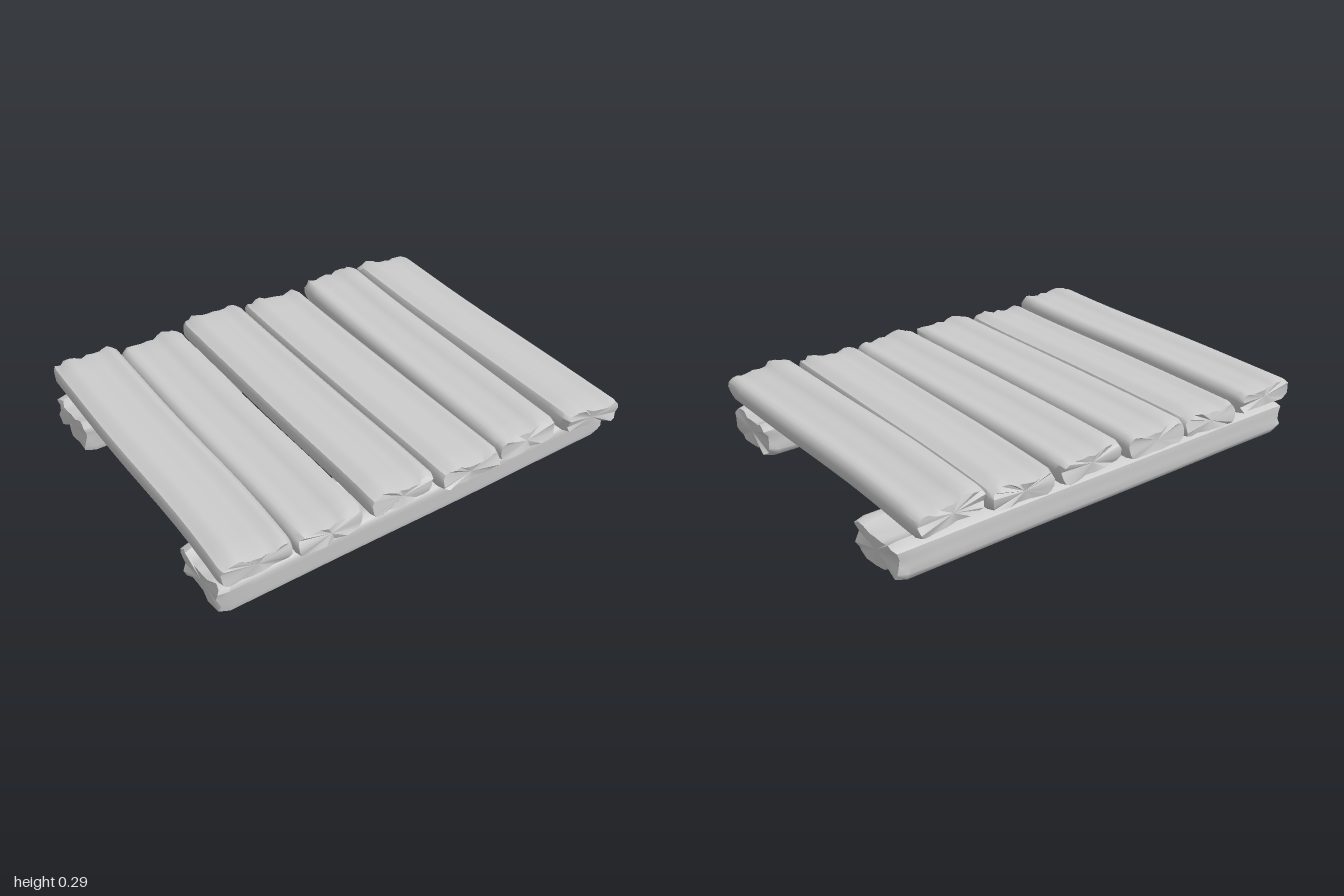
import * as THREE from 'three';
import { toCreasedNormals } from 'three/addons/utils/BufferGeometryUtils.js';

// Worn cross-sections, counter-clockwise, centred on the piece's axis
const PLANK = [
  [-0.152, 0.018], [-0.15, -0.022], [-0.138, -0.044], [-0.118, -0.05], [-0.07, -0.047], [-0.02, -0.05],
  [0.03, -0.047], [0.075, -0.053], [0.12, -0.055], [0.14, -0.045], [0.15, -0.02], [0.152, 0.012],
  [0.143, 0.035], [0.122, 0.048], [0.098, 0.046], [0.078, 0.036], [0.045, 0.037], [0.015, 0.041],
  [-0.015, 0.037], [-0.045, 0.045], [-0.07, 0.055], [-0.1, 0.052], [-0.122, 0.041], [-0.142, 0.036],
];
const BEAM = [
  [-0.148, 0.045], [-0.14, 0.015], [-0.145, -0.035], [-0.138, -0.062], [-0.12, -0.073], [-0.06, -0.07],
  [0, -0.072], [0.045, -0.073], [0.066, -0.052], [0.08, -0.045], [0.096, -0.06], [0.115, -0.077],
  [0.135, -0.066], [0.148, -0.04], [0.143, -0.01], [0.148, 0.03], [0.146, 0.058], [0.125, 0.07],
  [0.098, 0.077], [0.07, 0.062], [0.035, 0.056], [0, 0.064], [-0.04, 0.056], [-0.08, 0.073],
  [-0.115, 0.077], [-0.14, 0.064],
];

function seeded(seed) {
  let s = seed * 7919 + 17;
  return () => (s = (s * 16807) % 2147483647) / 2147483647;
}

// Sweeps a section along z, with gentle side sway and chipped, rounded ends
function timber(profile, z0, z1, seed, { flip = false, sway = 0.006, bow = 0 } = {}) {
  const rand = seeded(seed);
  for (let i = 0; i < 5; i++) rand();
  const section = flip ? profile.map(([x, y]) => [-x, y]).reverse() : profile;
  const n = section.length, phase = rand() * 6;
  const chips = [0, 1].map(() => section.map(() => rand() * 0.022));
  const pos = [], index = [];
  const rings = [[0, 0.86], [0.022, 1]];
  for (let i = 1; i < 12; i++) rings.push([i / 12, 1]);
  rings.push([0.978, 1], [1, 0.86]);

  rings.forEach(([t, scale], r) => {
    const drift = sway * Math.sin(t * 7 + phase) + bow * (t - 0.5);
    const nearStart = r < 2, nearEnd = r > rings.length - 3;
    section.forEach(([x, y], i) => {
      let z = z0 + (z1 - z0) * t;
      if (nearStart) z += chips[0][i];
      if (nearEnd) z -= chips[1][i];
      const wear = 1 + 0.025 * Math.sin(t * 9 + phase * 2) * Math.sign(x);
      pos.push(x * (scale < 1 ? 0.94 : wear) + drift, y * scale, z);
    });
  });
  for (let r = 0; r < rings.length - 1; r++) {
    for (let i = 0; i < n; i++) {
      const a = r * n + i, b = r * n + (i + 1) % n;
      index.push(a, b, b + n, a, b + n, a + n);
    }
  }
  // end caps
  const last = (rings.length - 1) * n, c = pos.length / 3;
  pos.push(-bow / 2, 0, z0 + 0.012, bow / 2, 0, z1 - 0.012);
  for (let i = 0; i < n; i++) {
    const j = (i + 1) % n;
    index.push(c, j, i, c + 1, last + i, last + j);
  }
  const geo = new THREE.BufferGeometry();
  geo.setAttribute('position', new THREE.Float32BufferAttribute(pos, 3));
  geo.setIndex(index);
  return toCreasedNormals(geo, 0.7);
}

export function createModel() {
  const group = new THREE.Group();
  const material = new THREE.MeshStandardMaterial({ color: 0xcccccc });
  const add = (name, geo) => {
    const mesh = new THREE.Mesh(geo, material);
    mesh.name = name;
    group.add(mesh);
    return mesh;
  };

  // Deck planks: x, y, back z, front z, tilt, bow, mirrored section
  const planks = [
    [-0.832, 0.235, -0.768, 0.747, 0, -0.015, false],
    [-0.518, 0.21, -0.762, 0.742, 0.03, -0.01, true],
    [-0.193, 0.228, -0.78, 0.742, -0.02, -0.005, false],
    [0.122, 0.216, -0.752, 0.764, -0.06, -0.005, false],
    [0.447, 0.217, -0.77, 0.745, 0.02, -0.035, true],
    [0.757, 0.216, -0.74, 0.778, -0.14, 0.0, false],
  ];
  planks.forEach(([x, y, z0, z1, tilt, bow, flip], i) => {
    const mesh = add(`deckPlank${i + 1}`, timber(PLANK, z0, z1, i + 3, { flip, bow }));
    mesh.position.set(x, y, 0);
    mesh.rotation.z = tilt;
  });

  // Two cross beams underneath, turned to run along x
  const beams = [['frontBeam', 0.547, -0.99, 0.925], ['backBeam', -0.577, -0.997, 1.0]];
  beams.forEach(([name, z, x0, x1], i) => {
    const mesh = add(name, timber(BEAM, x0, x1, i + 21, { sway: 0.003 }));
    mesh.position.set(0, 0.078, z);
    mesh.rotation.y = Math.PI / 2;
  });
  return group;
}
